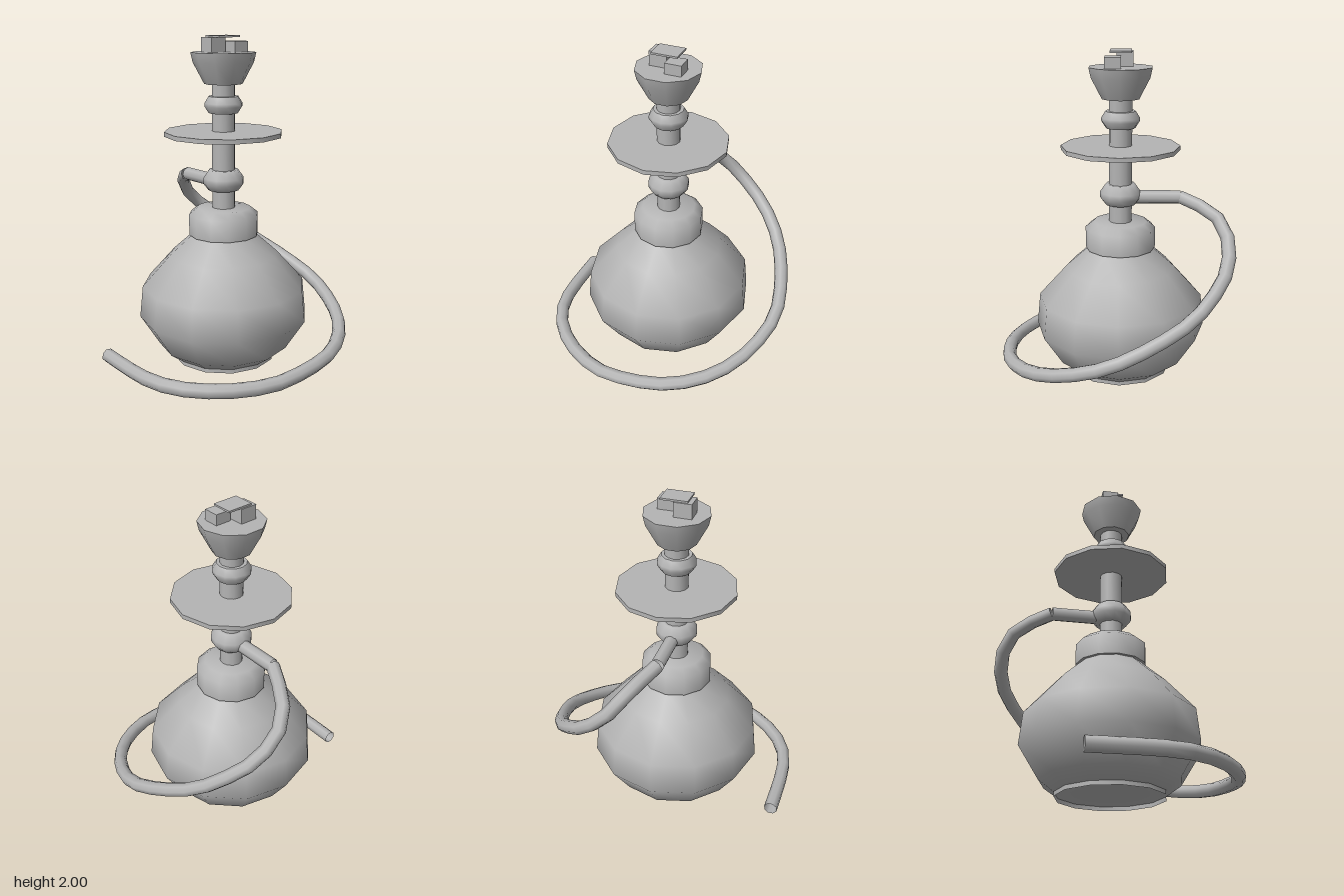
import * as THREE from 'three';
import { toCreasedNormals } from 'three/addons/utils/BufferGeometryUtils.js';

export function createModel() {
  const model = new THREE.Group();
  model.name = 'waterPipe';

  const grey = new THREE.MeshStandardMaterial({ color: 0xb4b4b4, side: THREE.DoubleSide });
  grey.name = 'plain grey';

  // Everything turned on the main axis sits in this group
  const pipe = new THREE.Group();
  pipe.name = 'pipe';
  pipe.position.set(-0.023, 0, -0.035);
  model.add(pipe);

  const add = (parent, name, geometry, x = 0, y = 0, z = 0) => {
    const mesh = new THREE.Mesh(geometry, grey);
    mesh.name = name;
    mesh.position.set(x, y, z);
    parent.add(mesh);
    return mesh;
  };

  // Profile points are [radius, height], listed from bottom to top
  const turned = (name, points, sides = 12, crease = 0.75) => {
    const profile = points.map(([r, y]) => new THREE.Vector2(r, y));
    const geometry = new THREE.LatheGeometry(profile, sides, Math.PI / 2);
    return add(pipe, name, toCreasedNormals(geometry, crease));
  };

  // Glass vase on a hollow foot ring
  turned('footRing', [[0.32, 0], [0.32, 0.03]]);
  turned('vase', [
    [0, 0.025], [0.32, 0.025], [0.41, 0.09], [0.53, 0.28],
    [0.51, 0.475], [0.335, 0.67], [0.19, 0.8],
  ], 12, 0.95);
  turned('collar', [[0, 0.795], [0.215, 0.795], [0.215, 0.925], [0.165, 0.965], [0, 0.965]], 12, 1);

  // Stem with its two knobs and the ash tray
  turned('stem', [[0.07, 0.95], [0.07, 1.73]]);
  turned('lowerKnob', [
    [0.07, 1.075], [0.095, 1.075], [0.125, 1.115], [0.125, 1.15], [0.09, 1.2], [0.07, 1.2],
  ], 12, 1);
  turned('upperKnob', [
    [0.07, 1.545], [0.09, 1.545], [0.115, 1.585], [0.115, 1.605], [0.09, 1.645], [0.07, 1.645],
  ], 12, 1);
  turned('tray', [[0, 1.41], [0.36, 1.41], [0.36, 1.437], [0, 1.437]]);

  // Bowl with a flat top
  turned('bowl', [[0, 1.718], [0.115, 1.718], [0.182, 1.845], [0.195, 1.903], [0, 1.903]], 10);

  // Coals: two blocks and a thin slab on top
  add(model, 'coalLeft', new THREE.BoxGeometry(0.1, 0.065, 0.095), 0.04, 1.935, 0.01);
  add(model, 'coalRight', new THREE.BoxGeometry(0.105, 0.087, 0.1), -0.078, 1.946, -0.06);
  add(model, 'coalTop', new THREE.BoxGeometry(0.158, 0.011, 0.128), -0.025, 1.9945, -0.037);

  // Hose port pointing backwards
  const port = new THREE.CylinderGeometry(0.042, 0.042, 0.31, 8, 1, true);
  port.rotateX(Math.PI / 2);
  add(model, 'hosePort', port, -0.023, 1.117, -0.245);

  // Hose sweeping round the vase down to the ground
  const path = [
    [-0.025, 1.117, -0.4], [0.06, 1.06, -0.56], [0.11, 1.01, -0.63], [0.2, 0.9, -0.68],
    [0.35, 0.77, -0.655], [0.47, 0.68, -0.58], [0.59, 0.57, -0.45], [0.68, 0.465, -0.25],
    [0.727, 0.355, 0], [0.68, 0.28, 0.2], [0.57, 0.215, 0.4], [0.41, 0.17, 0.55],
    [0.21, 0.14, 0.645], [0, 0.12, 0.672], [-0.18, 0.1, 0.66], [-0.34, 0.092, 0.605],
    [-0.5, 0.09, 0.505], [-0.63, 0.09, 0.37], [-0.71, 0.09, 0.2], [-0.73, 0.09, 0.02],
    [-0.725, 0.09, -0.295],
  ].map((p) => new THREE.Vector3(...p));
  const curve = new THREE.CatmullRomCurve3(path);
  add(model, 'hose', new THREE.TubeGeometry(curve, 30, 0.042, 8));

  return model;
}
